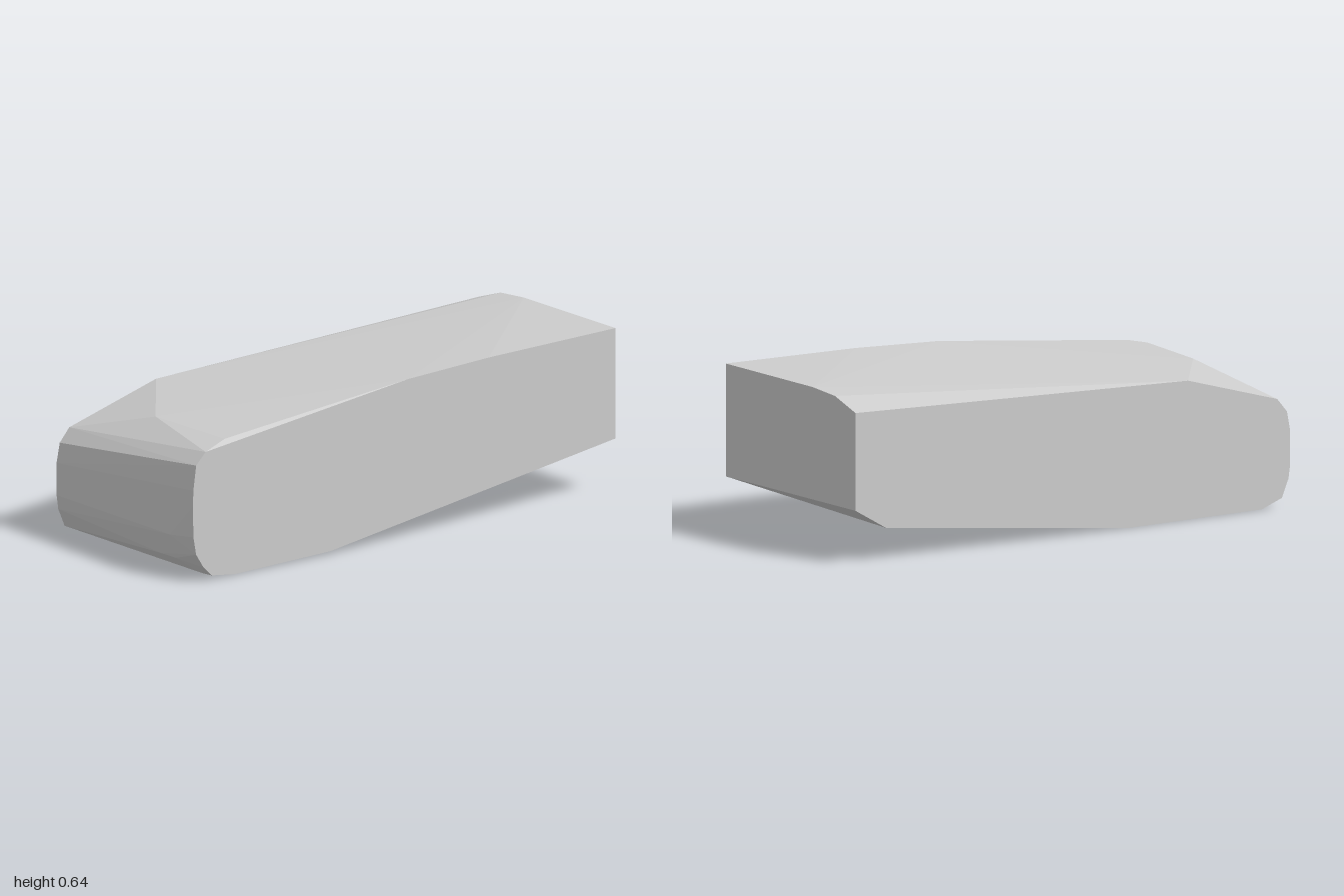
import * as THREE from 'three';
import { ConvexGeometry } from 'three/addons/geometries/ConvexGeometry.js';

const HALF_WIDTH = 0.41;

// Side outlines as [z, y]
const rightOutline = [
  [-1, 0.575], [0.53, 0.527], [0.94, 0.412], [0.985, 0.36], [1, 0.285], [1, 0.16],
  [0.992, 0.105], [0.962, 0.035], [0.87, 0.002], [0.25, 0], [-0.86, 0.125], [-1, 0.205],
];
const leftOutline = [
  [-1, 0.637], [-0.4, 0.629], [-0.02, 0.613], [0.94, 0.5], [0.985, 0.455], [0.998, 0.36],
  [1, 0.3], [0.998, 0.18], [0.985, 0.11], [0.95, 0.055], [0.91, 0.017], [0.8, 0.003],
  [0.35, 0.012], [-1, 0.21],
];

// Corners that lie between the two sides, as [x, y, z]
const innerCorners = [
  [-0.28, 0.62, -1], [-0.14, 0.632, -1],                     // rear top bevel
  [-0.03, 0.519, 0.83], [0.385, 0.526, 0.83],                // front top edge
  [-0.37, 0.265, 1], [0.27, 0.16, 1],                        // nose
  [0.18, 0.065, 0.975], [0.27, 0.065, 0.972], [0.37, 0.02, 0.925], // lower nose
  [0.25, 0, 0.8], [0.2, 0, 0.27], [-0.3, 0.113, -0.8],       // underside
];

export function createModel() {
  const grey = new THREE.MeshStandardMaterial({ color: 0xcccccc });
  grey.name = 'plainGrey';

  const onSide = (x) => ([z, y]) => new THREE.Vector3(x, y, z);
  const points = [
    ...rightOutline.map(onSide(-HALF_WIDTH)),
    ...leftOutline.map(onSide(HALF_WIDTH)),
    ...innerCorners.map((p) => new THREE.Vector3(...p)),
  ];

  // Faceted block with flat sides and a rounded nose
  const block = new THREE.Mesh(new ConvexGeometry(points), grey);
  block.name = 'block';

  const model = new THREE.Group();
  model.name = 'facetedBlock';
  model.add(block);
  return model;
}
